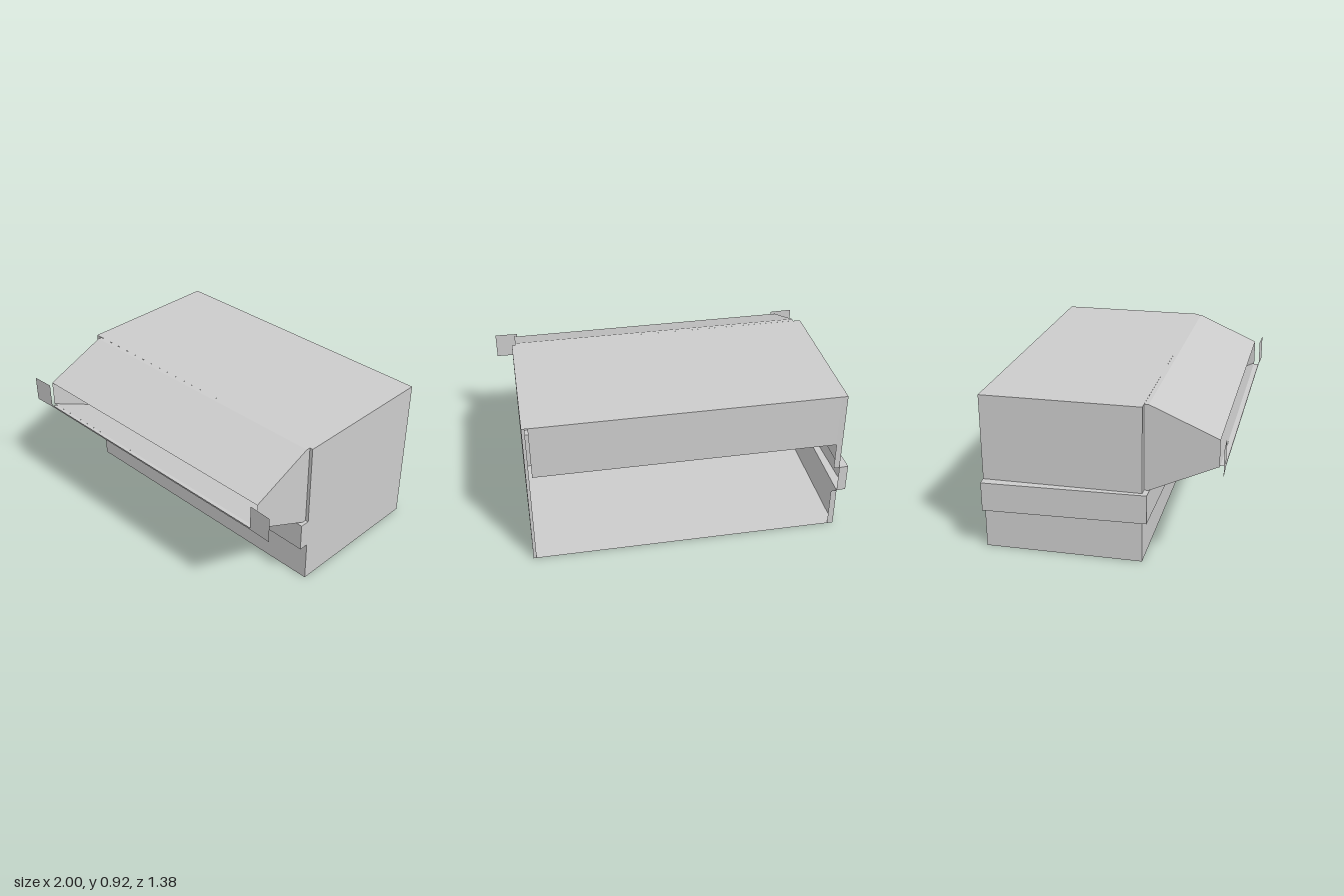
import * as THREE from 'three';

const material = new THREE.MeshStandardMaterial({
  color: 0xcccccc, side: THREE.DoubleSide, flatShading: true,
});

// One mesh made of four-cornered sheets
function sheets(name, quads) {
  const pos = [];
  for (const [a, b, c, d] of quads) pos.push(...a, ...b, ...c, ...a, ...c, ...d);
  const geo = new THREE.BufferGeometry();
  geo.setAttribute('position', new THREE.Float32BufferAttribute(pos, 3));
  geo.computeVertexNormals();
  const mesh = new THREE.Mesh(geo, material);
  mesh.name = name;
  return mesh;
}

// Plan points are [x, z]
const at = ([x, z], y) => [x, y, z];
const wall = (a, b, y0, y1) => [at(a, y0), at(b, y0), at(b, y1), at(a, y1)];
const slab = (a, b, c, d, y) => [at(a, y), at(b, y), at(c, y), at(d, y)];

export function createModel() {
  const group = new THREE.Group();
  const top = 0.92, bandLow = 0.25, bandHigh = 0.42;

  // Slightly skewed footprint of the shell
  const backL = [-0.945, -0.665], backR = [0.88, -0.69];
  const frontL = [-0.925, 0.24], frontR = [0.895, 0.215];

  group.add(sheets('floor', [slab(frontL, frontR, backR, backL, 0)]));
  group.add(sheets('roof', [slab(frontL, frontR, backR, backL, top)]));
  group.add(sheets('rightWall', [wall(frontR, backR, 0, top)]));
  group.add(sheets('leftWall', [
    wall(backL, frontL, 0, bandLow), wall(backL, frontL, bandHigh, top),
  ]));
  group.add(sheets('lowerFront', [wall(frontL, frontR, 0, bandLow)]));

  // Raised band round the front and left side, open to the inside
  const bandBack = [-1, -0.66], bandL = [-0.95, 0.27], bandR = [0.895, 0.27];
  const band = [
    wall(bandL, bandR, bandLow, bandHigh),
    wall(bandBack, bandL, bandLow, bandHigh),
    wall(bandR, frontR, bandLow, bandHigh),
    wall(backL, bandBack, bandLow, bandHigh),
  ];
  for (const y of [bandLow, bandHigh]) {
    band.push(slab(bandL, bandR, frontR, frontL, y), slab(bandBack, bandL, frontL, backL, y));
  }
  group.add(sheets('band', band));

  // Hood, open at its front and into the shell
  const rootL = [-0.88, 0.24], rootR = [0.875, 0.215];
  const neckL = [-0.88, 0.265], neckR = [0.875, 0.24];
  const mouthL = [-0.878, 0.65], mouthR = [0.878, 0.62];
  const mouthLow = 0.6, mouthHigh = 0.755;
  const hood = [];
  for (const [yBack, yFront] of [[bandHigh, mouthLow], [top, mouthHigh]]) {
    hood.push(slab(rootL, rootR, neckR, neckL, yBack));
    hood.push([at(neckL, yBack), at(neckR, yBack), at(mouthR, yFront), at(mouthL, yFront)]);
  }
  for (const [root, neck, mouth] of [[rootL, neckL, mouthL], [rootR, neckR, mouthR]]) {
    hood.push(wall(root, neck, bandHigh, top));
    hood.push([at(neck, bandHigh), at(mouth, mouthLow), at(mouth, mouthHigh), at(neck, top)]);
  }
  group.add(sheets('hood', hood));

  // Narrow front posts beside the hood
  group.add(sheets('frontPosts', [
    wall(frontL, rootL, bandHigh, top), wall(rootR, frontR, bandHigh, top),
  ]));

  // Sill under the hood opening, with an end plate on each side
  const sillL = [-0.86, 0.68], sillR = [0.86, 0.653];
  group.add(sheets('sill', [
    slab([-0.86, 0.65], [0.86, 0.62], sillR, sillL, mouthLow),
    wall(sillL, sillR, mouthLow, mouthLow + 0.01),
  ]));
  group.add(sheets('leftEndPlate', [wall([0.86, 0.653], [1, 0.656], mouthLow, mouthHigh)]));
  group.add(sheets('rightEndPlate', [wall([-1, 0.688], [-0.86, 0.68], mouthLow, mouthHigh)]));

  // Strip hanging from the roof at the open back, and thin back returns
  group.add(sheets('backStrip', [wall([-0.91, -0.665], [0.845, -0.689], 0.59, top)]));
  group.add(sheets('backReturns', [
    wall(backL, [-0.91, -0.665], 0, bandLow),
    wall(backL, [-0.91, -0.665], bandHigh, top),
    wall([0.862, -0.689], backR, 0, top),
  ]));
  return group;
}
